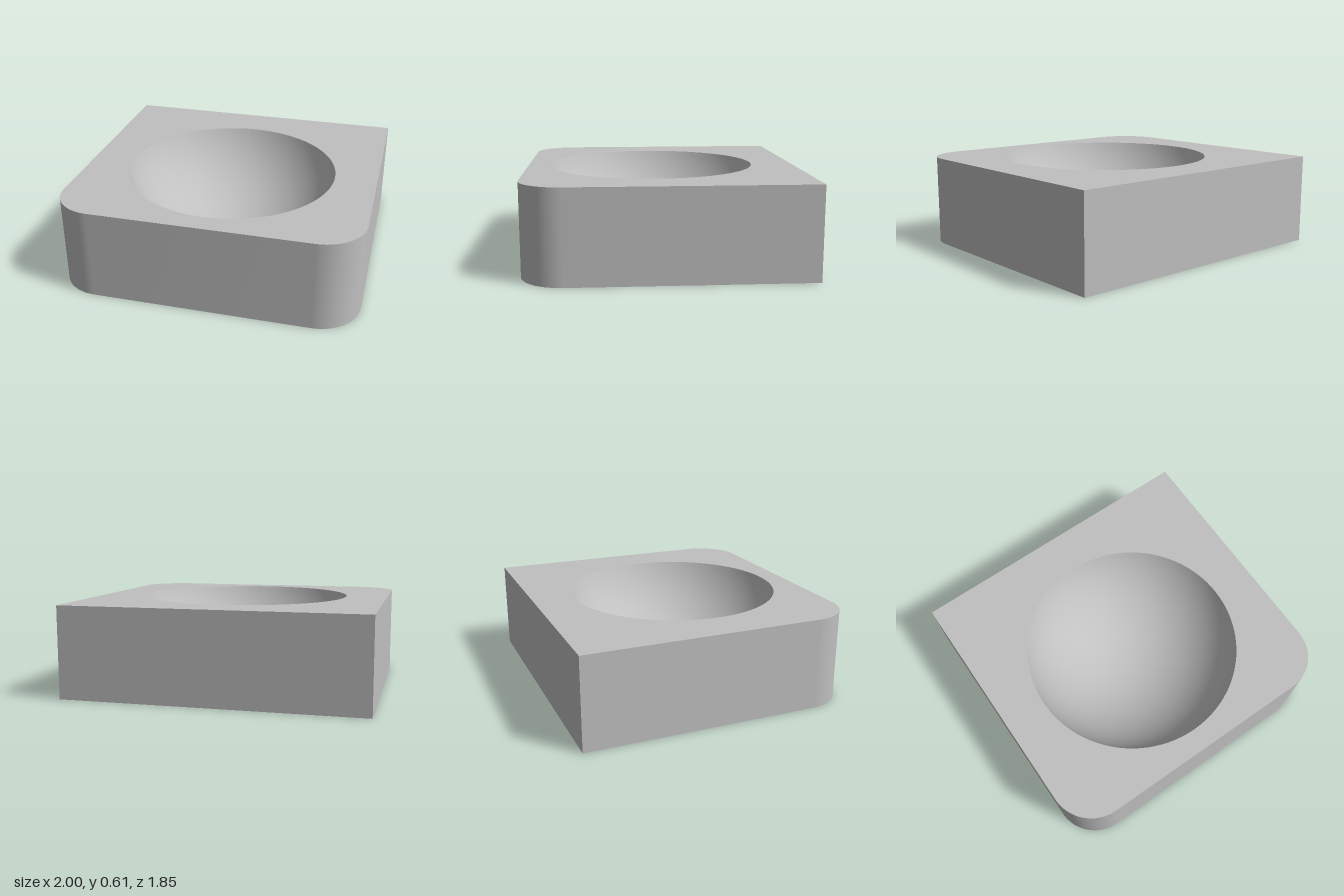
import * as THREE from 'three';
import { toCreasedNormals } from 'three/addons/utils/BufferGeometryUtils.js';

const HALF_X = 1, HALF_Z = 0.927, HEIGHT = 0.61, CORNER = 0.28;
const BOWL_R = 0.715, BOWL_Z = 0.07, BOWL_DEPTH = 0.5;
const CURVE_STEPS = 48;

// Footprint seen from above, drawn with y = -z: square back, rounded front corners
function footprint() {
  const s = new THREE.Shape();
  s.moveTo(HALF_X, HALF_Z);
  s.lineTo(-HALF_X, HALF_Z);
  s.absarc(-HALF_X + CORNER, -HALF_Z + CORNER, CORNER, Math.PI, Math.PI * 1.5, false);
  s.absarc(HALF_X - CORNER, -HALF_Z + CORNER, CORNER, Math.PI * 1.5, Math.PI * 2, false);
  s.lineTo(HALF_X, HALF_Z);
  return s;
}

// A strip wrapped around the footprint, facing outwards
function wallGeometry() {
  const pts = footprint().getPoints(CURVE_STEPS);
  if (!pts[0].equals(pts[pts.length - 1])) pts.push(pts[0].clone());
  const n = pts.length - 1;
  const g = new THREE.PlaneGeometry(1, 1, n, 1);
  const pos = g.attributes.position;
  for (let i = 0; i < pos.count; i++) {
    const p = pts[i % (n + 1)];
    pos.setXYZ(i, p.x, i <= n ? HEIGHT : 0, -p.y);
  }
  return toCreasedNormals(g, 0.5);
}

// Spherical hollow, profile from rim to lowest point so that it faces inwards
function bowlGeometry() {
  const R = (BOWL_R ** 2 + BOWL_DEPTH ** 2) / (2 * BOWL_DEPTH);
  const rimAngle = Math.asin(BOWL_R / R);
  const profile = [];
  for (let i = 0; i <= 32; i++) {
    const a = rimAngle * (1 - i / 32);
    profile.push(new THREE.Vector2(R * Math.sin(a), R - BOWL_DEPTH - R * Math.cos(a)));
  }
  return new THREE.LatheGeometry(profile, CURVE_STEPS * 2);
}

export function createModel() {
  const model = new THREE.Group();
  model.name = 'blockWithBowl';
  const grey = new THREE.MeshStandardMaterial({ color: 0xc0c0c0 });
  grey.name = 'light grey';

  const add = (name, geometry, y = 0, z = 0) => {
    const mesh = new THREE.Mesh(geometry, grey);
    mesh.name = name;
    mesh.position.set(0, y, z);
    model.add(mesh);
  };

  // Top face with the round opening
  const topShape = footprint();
  const opening = new THREE.Path();
  opening.absarc(0, -BOWL_Z, BOWL_R, 0, Math.PI * 2, true);
  topShape.holes.push(opening);
  add('topFace', new THREE.ShapeGeometry(topShape, CURVE_STEPS).rotateX(-Math.PI / 2), HEIGHT);

  // Underside: mirrored outline turned to face down
  const under = new THREE.ShapeGeometry(footprint(), CURVE_STEPS).rotateX(-Math.PI / 2);
  under.index.array.reverse();
  under.computeVertexNormals();
  add('underside', under);

  add('sideWalls', wallGeometry());
  add('bowlHollow', bowlGeometry(), HEIGHT, BOWL_Z);
  return model;
}
